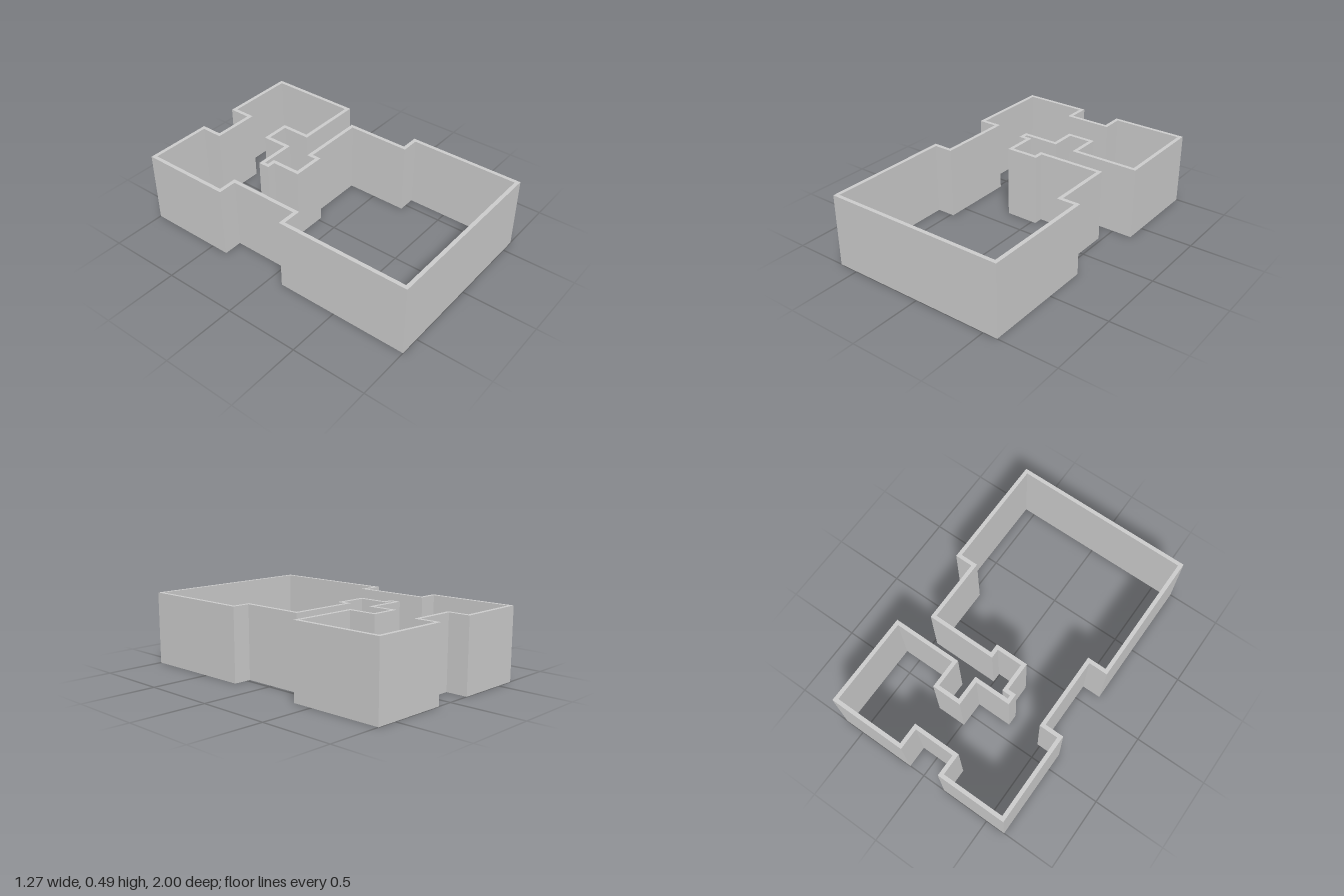
import * as THREE from 'three';

const HEIGHT = 0.488;
const THICKNESS = 0.026;

// Outer face of the wall as a closed plan of [x, z] corners, clockwise from above
const PLAN = [
  // back room with its notch
  [-0.635, -1], [-0.163, -1], [-0.163, -0.854], [0.11, -0.854], [0.11, -1], [0.635, -1], [0.635, -0.36],
  // recess and stepped end of the entry corridor
  [0.162, -0.36], [0.162, -0.553], [0.014, -0.553], [0.014, -0.381], [-0.228, -0.381],
  [-0.228, -0.357], [-0.171, -0.357], [-0.171, -0.16], [0.003, -0.16], [0.003, -0.223],
  // front room
  [0.476, -0.223], [0.476, 0.209], [0.597, 0.209], [0.597, 1], [-0.635, 1],
  // inset of the left-hand wall
  [-0.635, 0.094], [-0.508, 0.094], [-0.508, -0.382], [-0.635, -0.382],
];

// Moves every corner inward by the wall thickness, keeping mitred corners
function insetPlan(points, distance) {
  const n = points.length;
  const inward = (a, b) => new THREE.Vector2(b.y - a.y, a.x - b.x).normalize();
  return points.map((p, i) => {
    const before = inward(points[(i + n - 1) % n], p);
    const after = inward(p, points[(i + 1) % n]);
    return p.clone().addScaledVector(before.add(after), distance);
  });
}

export function createModel() {
  const group = new THREE.Group();
  group.name = 'floorPlanWalls';

  // The hole runs the opposite way round, so that the inner faces look into the rooms
  const outer = PLAN.map(([x, z]) => new THREE.Vector2(x, -z));
  const shape = new THREE.Shape(outer);
  shape.holes.push(new THREE.Path(insetPlan(outer, THICKNESS).reverse()));

  // One continuous wall raised from the plan
  const geometry = new THREE.ExtrudeGeometry(shape, { depth: HEIGHT, bevelEnabled: false });
  geometry.rotateX(-Math.PI / 2);
  const wall = new THREE.Mesh(geometry, new THREE.MeshStandardMaterial({ color: 0xcccccc }));
  wall.name = 'perimeterWall';
  group.add(wall);
  return group;
}
